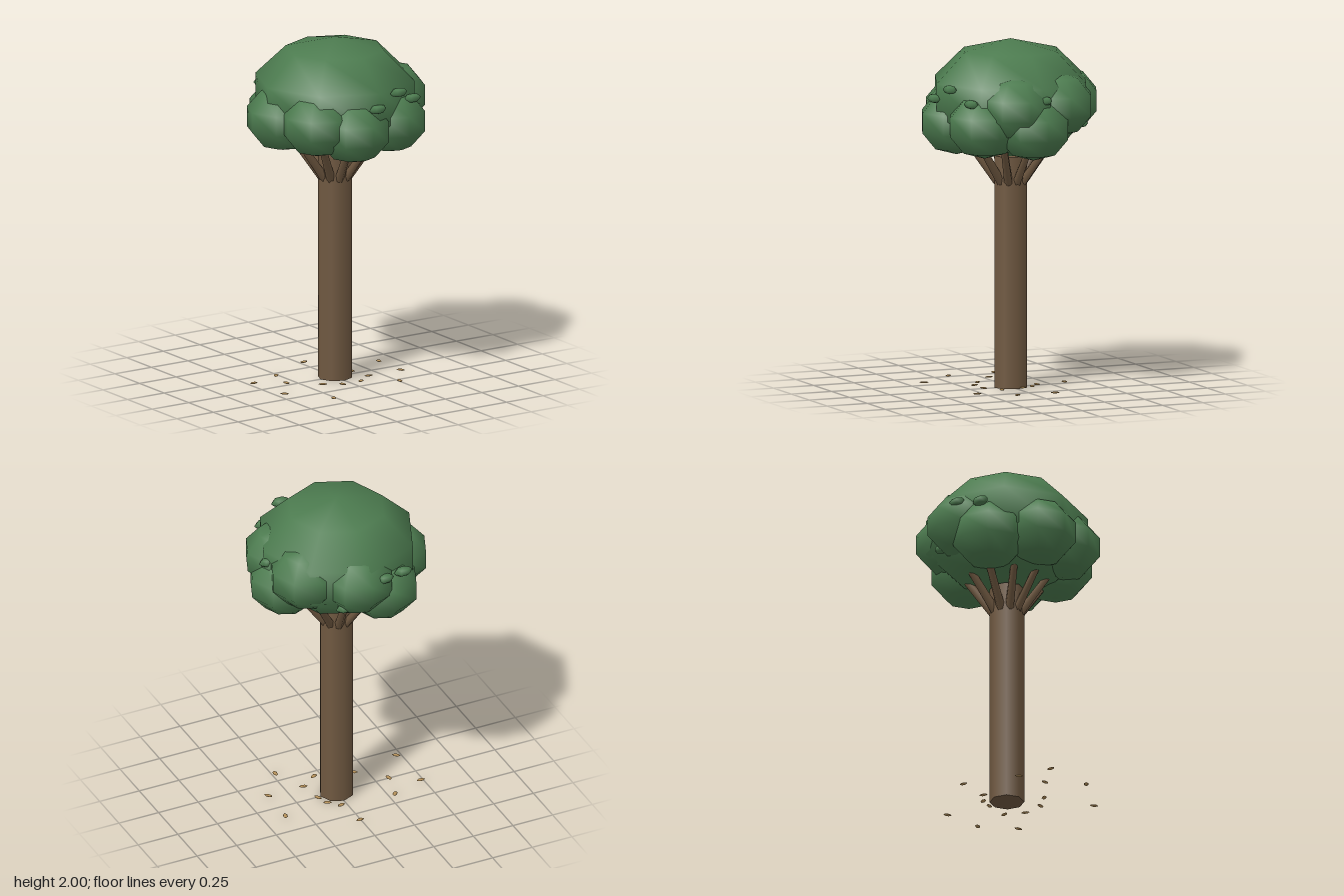
import * as THREE from 'three';

export function createModel() {
  const tree = new THREE.Group();
  tree.name = 'tree';

  const bark = new THREE.MeshStandardMaterial({ color: 0x705941 });
  bark.name = 'bark brown';
  const foliage = new THREE.MeshStandardMaterial({ color: 0x4c7b4f });
  foliage.name = 'foliage green';
  const dryLeaf = new THREE.MeshStandardMaterial({ color: 0xb5915a });
  dryLeaf.name = 'dry leaf tan';

  const add = (name, geometry, material, position, scale = [1, 1, 1], turn = 0) => {
    const mesh = new THREE.Mesh(geometry, material);
    mesh.name = name;
    mesh.position.set(...position);
    mesh.scale.set(...scale);
    mesh.rotation.y = turn;
    tree.add(mesh);
    return mesh;
  };

  // Trunk
  const trunkHeight = 1.33;
  add('trunk', new THREE.CylinderGeometry(0.099, 0.099, trunkHeight, 8), bark, [0, trunkHeight / 2, 0]);

  // Ring of branches fanning out into the crown
  const up = new THREE.Vector3(0, 1, 0);
  const branchCount = 10;
  for (let i = 0; i < branchCount; i++) {
    const a = (i / branchCount) * Math.PI * 2 - 0.26;
    const at = (r, y) => new THREE.Vector3(Math.sin(a) * r, y, Math.cos(a) * r);
    const from = at(0.075, 1.18);
    const to = at(0.25, 1.42);
    const direction = to.clone().sub(from);
    const mid = from.clone().add(to).multiplyScalar(0.5);
    const branch = add('branch', new THREE.CylinderGeometry(0.02, 0.026, direction.length(), 6), bark, mid.toArray());
    branch.quaternion.setFromUnitVectors(up, direction.normalize());
  }

  // Main crown and the lobes around it
  const ball = new THREE.SphereGeometry(1, 8, 5);
  add('crown', ball, foliage, [0, 1.66, 0], [0.483, 0.34, 0.483]);
  const lobes = [
    [-0.08, 1.53, 0.3], [0.2, 1.54, 0.25], [-0.25, 1.57, 0.2],
    [-0.32, 1.56, -0.05], [0.32, 1.53, 0], [0.3, 1.645, 0.1],
    [0.27, 1.65, -0.165], [0.02, 1.635, -0.31], [-0.15, 1.53, -0.275],
  ];
  lobes.forEach((p) => add('crownLobe', ball, foliage, p, [0.221, 0.188, 0.221]));

  // Small leaf tufts on the crown
  const tuft = new THREE.SphereGeometry(1, 6, 4);
  const tufts = [
    [-0.02, 1.68, 0.465], [0.14, 1.75, 0.44], [0.28, 1.68, 0.37], [-0.22, 1.68, -0.415],
    [-0.08, 1.7, -0.465], [0.13, 1.51, -0.38], [0.44, 1.7, -0.02],
  ];
  tufts.forEach((p) => add('leafTuft', tuft, foliage, p, [0.058, 0.026, 0.035]));

  // Fallen leaves around the base
  const fallen = [
    [-0.48, -0.11], [-0.465, 0.18], [-0.325, -0.01], [-0.285, -0.175], [0.01, -0.33], [-0.17, 0.13],
    [-0.075, 0.19], [-0.285, 0.41], [0.04, -0.146], [0.1, -0.09], [0.125, -0.02], [0.375, -0.11],
    [0.05, 0.19], [0.15, 0.12], [0.37, 0.12], [0.235, 0.31],
  ];
  fallen.forEach(([x, z], i) => add('fallenLeaf', tuft, dryLeaf, [x, 0.012, z], [0.026, 0.005, 0.014], i * 2.4));

  return tree;
}
